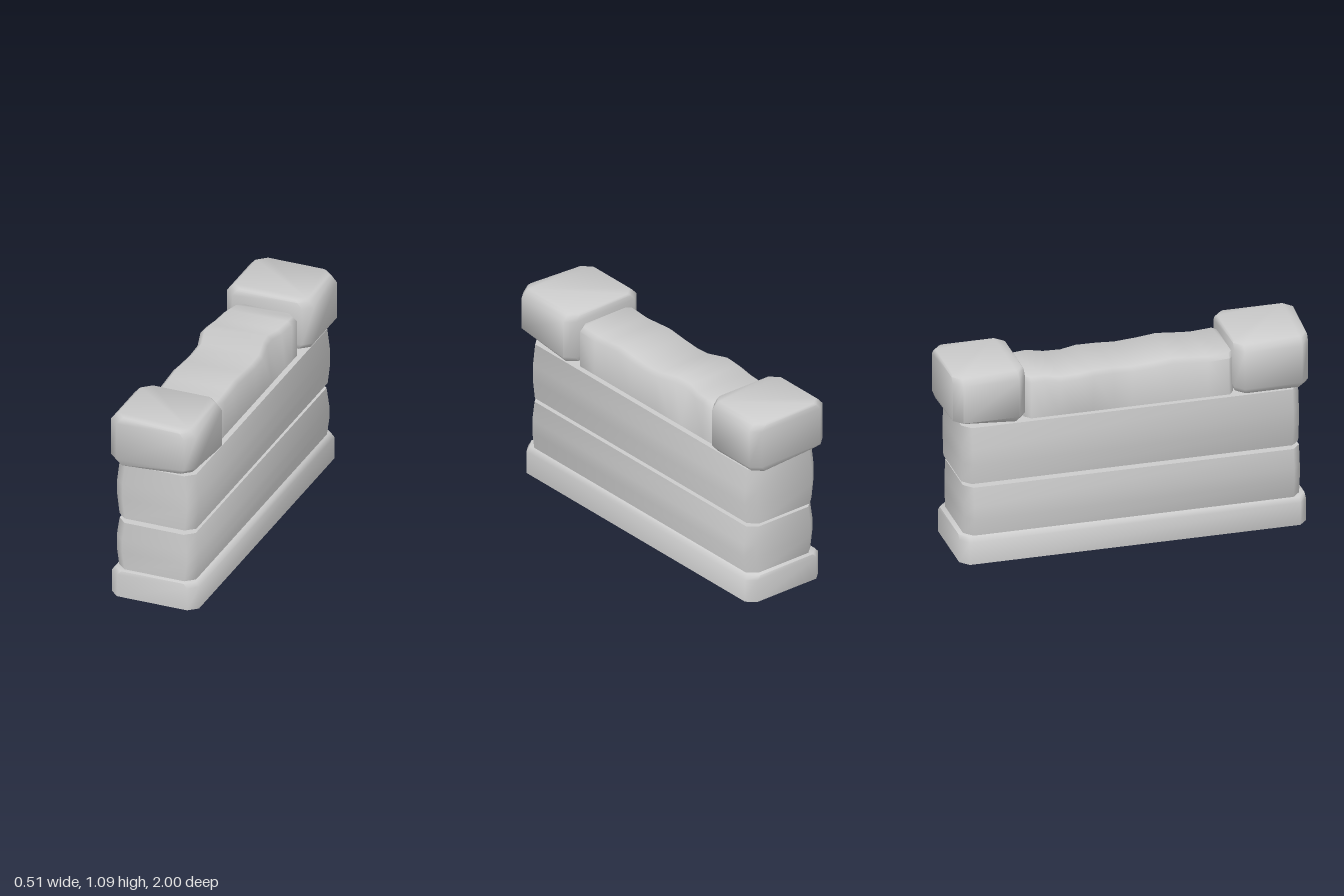
import * as THREE from 'three';
import { toCreasedNormals } from 'three/addons/utils/BufferGeometryUtils.js';

// Skin a closed solid over rings of [x, y, z] points (counterclockwise seen from the last ring)
function loft(rings) {
  const n = rings[0].length, pos = rings.flat(2), index = [];
  for (let r = 0; r < rings.length - 1; r++) {
    for (let i = 0; i < n; i++) {
      const a = r * n + i, b = r * n + (i + 1) % n;
      index.push(a, b, b + n, a, b + n, a + n);
    }
  }
  const last = (rings.length - 1) * n;
  for (let i = 1; i < n - 1; i++) {
    index.push(0, i + 1, i);
    index.push(last, last + i, last + i + 1);
  }
  const g = new THREE.BufferGeometry();
  g.setAttribute('position', new THREE.Float32BufferAttribute(pos, 3));
  g.setIndex(index);
  return toCreasedNormals(g, 1.1);
}

// Rectangle with cut corners at height y
function outline(y, hx, z0, z1, cx = 0.05, cz = 0.045) {
  return [
    [hx, y, z1 - cz], [hx, y, z0 + cz], [hx - cx, y, z0], [-hx + cx, y, z0],
    [-hx, y, z0 + cz], [-hx, y, z1 - cz], [-hx + cx, y, z1], [hx - cx, y, z1],
  ];
}

export function createModel() {
  const group = new THREE.Group();
  const stone = new THREE.MeshStandardMaterial({ color: 0xcccccc });
  stone.name = 'grey stone';
  const add = (name, rings) => {
    const mesh = new THREE.Mesh(loft(rings), stone);
    mesh.name = name;
    group.add(mesh);
  };

  // Plinth with a bevelled upper edge
  add('base', [
    outline(0, 0.253, -0.965, 0.96), outline(0.13, 0.253, -0.965, 0.96),
    outline(0.155, 0.232, -0.963, 0.958),
  ]);

  // Two long courses that bulge sideways
  const course = (name, y0, y1, z0, z1) => {
    const profile = [[0, 0.223], [0.35, 0.237], [0.62, 0.237], [1, 0.221]];
    add(name, profile.map(([t, hx]) => outline(y0 + (y1 - y0) * t, hx, z0, z1)));
  };
  course('lowerCourse', 0.155, 0.436, -0.935, 0.93);
  course('upperCourse', 0.46, 0.788, -0.945, 0.925);

  // Worn top course: height and sideways shift of its crest change along z
  const crest = [
    // z, half width, crest height, left shift, right shift
    [-0.592, 0.155, 1.015, 0, 0], [-0.56, 0.19, 1.018, 0, 0], [-0.49, 0.19, 1.024, -0.012, 0],
    [-0.4, 0.19, 1.014, -0.028, -0.018], [-0.31, 0.19, 1.021, -0.036, -0.039],
    [-0.22, 0.19, 1.03, -0.034, -0.025], [-0.1, 0.19, 1.016, 0, 0], [0, 0.19, 1.01, 0, 0],
    [0.12, 0.19, 1.018, 0, 0], [0.23, 0.19, 1.03, 0, 0], [0.33, 0.19, 1.021, 0, 0],
    [0.42, 0.19, 1.014, 0, 0], [0.54, 0.19, 1.022, 0, 0], [0.568, 0.155, 1.02, 0, 0],
  ];
  add('wornTopCourse', crest.map(([z, w, top, l, r]) => [
    [-w, 0.785, z], [w, 0.785, z], [w + r, top - 0.022, z],
    [w + r - 0.025, top, z], [-w + l + 0.025, top, z], [-w + l, top - 0.022, z],
  ]));

  // End blocks with softened edges
  const block = (name, z0, z1, warp) => {
    const rings = [
      outline(0.8, 0.225, z0 + 0.012, z1 - 0.012), outline(0.835, 0.253, z0, z1),
      outline(1.05, 0.253, z0, z1), outline(1.082, 0.225, z0, z1),
      outline(1.093, 0.212, z0 + 0.008, z1 - 0.008),
    ];
    rings.forEach((ring, i) => ring.forEach((p) => warp(p, i)));
    add(name, rings);
  };
  // The front block has a skewed face and a chipped lower corner
  block('frontEndBlock', 0.562, 1, (p, i) => {
    if (p[2] > 0.8) {
      p[2] -= THREE.MathUtils.clamp((0.2 - p[0]) * 0.07, 0, 0.03);
      if (i < 2 && p[0] > 0) p[1] += i === 0 ? 0.035 : 0.03;
    }
  });
  block('backEndBlock', -1, -0.6, (p, i) => {
    if (i === 0 && p[2] < -0.8 && p[0] < 0) p[1] += 0.02;
  });

  return group;
}
